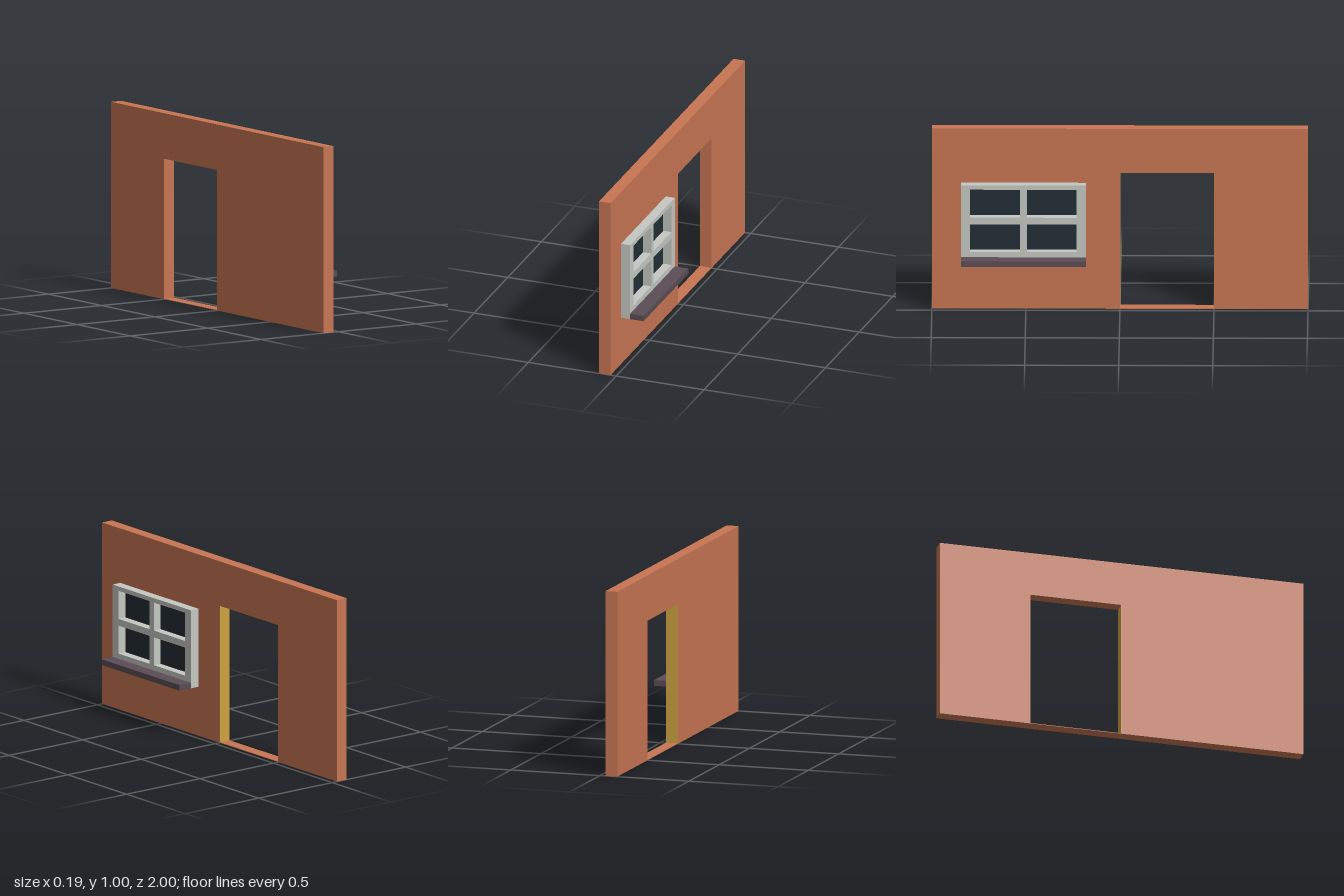
import * as THREE from 'three';

const material = (name, color) => {
  const m = new THREE.MeshStandardMaterial({ color });
  m.name = name;
  return m;
};

export function createModel() {
  const group = new THREE.Group();
  const terracotta = material('terracotta', 0xc87553);
  const paleGrey = material('pale grey', 0xc5c8c2);
  const darkGlass = material('dark glass', 0x232d36);
  const plum = material('plum grey', 0x5b4d55);
  const ochre = material('ochre', 0xcda23f);

  const add = (name, geometry, mat) => {
    const mesh = new THREE.Mesh(geometry, mat);
    mesh.name = name;
    group.add(mesh);
    return mesh;
  };
  // Box given by its extents on each axis
  const box = (name, mat, [x0, x1], [y0, y1], [z0, z1]) => {
    const mesh = add(name, new THREE.BoxGeometry(x1 - x0, y1 - y0, z1 - z0), mat);
    mesh.position.set((x0 + x1) / 2, (y0 + y1) / 2, (z0 + z1) / 2);
    return mesh;
  };
  // Outline drawn in (z, y), extruded from x1 back to x0
  const slab = (name, mat, shape, [x0, x1]) => {
    const geometry = new THREE.ExtrudeGeometry(shape, { depth: x1 - x0, bevelEnabled: false });
    geometry.rotateY(-Math.PI / 2).translate(x1, 0, 0);
    return add(name, geometry, mat);
  };
  const outline = (points) => points.map(([z, y]) => new THREE.Vector2(z, y));
  const rectangle = ([z0, z1], [y0, y1]) => outline([[z0, y0], [z1, y0], [z1, y1], [z0, y1]]);

  const wallX = [-0.098, -0.032];
  const frameX = [-0.032, 0.02];
  const windowZ = [0.18, 0.845];

  // Wall with a doorway notch
  const wallShape = new THREE.Shape(outline([
    [-1, 0], [-0.5, 0], [-0.5, 0.755], [0, 0.755], [0, 0], [1, 0], [1, 1], [-1, 1],
  ]));
  slab('wall', terracotta, wallShape, wallX);
  box('threshold', terracotta, wallX, [0, 0.003], [-0.5, 0]);

  // Edge of the sliding door, flush with the jamb
  box('doorEdge', ochre, wallX, [0.003, 0.755], [-0.002, 0]);

  // Window frame with four openings, each with a recessed pane
  const frameShape = new THREE.Shape(rectangle(windowZ, [0.27, 0.7]));
  for (const z of [[0.23, 0.495], [0.53, 0.797]]) {
    for (const y of [[0.33, 0.484], [0.521, 0.676]]) {
      frameShape.holes.push(new THREE.Path(rectangle(z, y)));
      box('windowPane', darkGlass, [-0.032, -0.027], y, z);
    }
  }
  slab('windowFrame', paleGrey, frameShape, frameX);

  // Projecting sill
  box('windowSill', plum, [0.02, 0.097], [0.27, 0.301], windowZ);

  return group;
}
